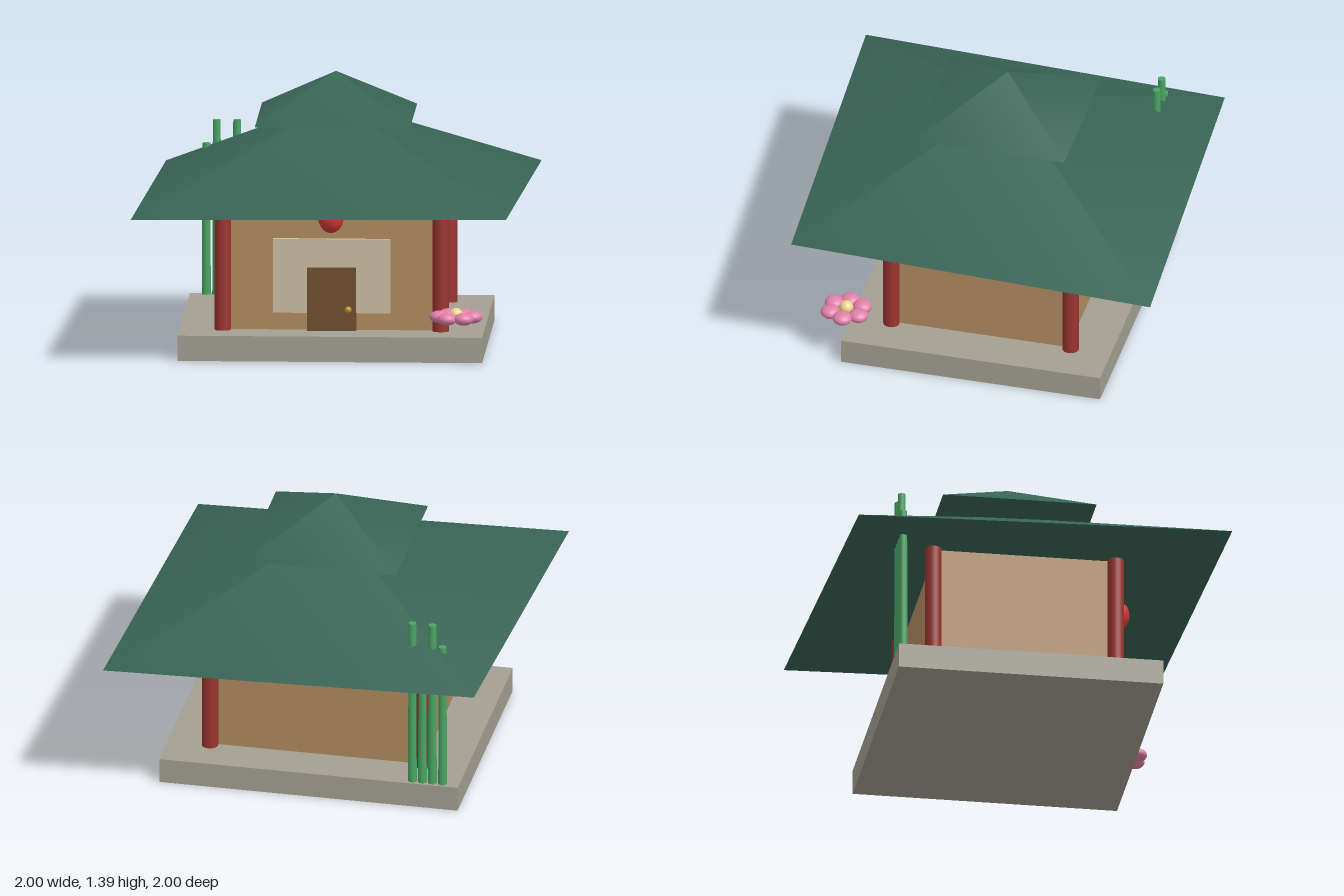
import * as THREE from 'three';

const colors = {
  stone: 0xa39f92, wall: 0xb08b60, column: 0x9a342f, roof: 0x386455,
  panel: 0xcbbda0, door: 0x704e30, knob: 0xc09020, lantern: 0xd03a34,
  bamboo: 0x4aa564, petal: 0xe080a8, pollen: 0xf0d48a,
};
const materials = {};
for (const key in colors) materials[key] = new THREE.MeshStandardMaterial({ color: colors[key] });

function add(parent, name, geometry, material, x, y, z) {
  const mesh = new THREE.Mesh(geometry, materials[material]);
  mesh.name = name;
  mesh.position.set(x, y, z);
  parent.add(mesh);
  return mesh;
}

// Four-sided roof; squash shortens one diagonal of its plan
function pyramid(half, height, squash = 1) {
  return new THREE.ConeGeometry(half * Math.SQRT2, height, 4)
    .scale(1, 1, squash)
    .rotateY(Math.PI / 4);
}

export function createModel() {
  const model = new THREE.Group();
  model.name = 'gardenHouse';
  const floor = 0.13;
  const eaves = 0.775;
  const wallHeight = eaves - floor;

  // Platform and walls
  add(model, 'platform', new THREE.BoxGeometry(1.55, floor, 1.36), 'stone', 0, floor / 2, 0);
  add(model, 'walls', new THREE.BoxGeometry(1.09, wallHeight, 0.91), 'wall', 0, floor + wallHeight / 2, 0);

  // Corner columns
  const column = new THREE.CylinderGeometry(0.042, 0.042, wallHeight, 24);
  for (const sx of [-1, 1]) {
    for (const sz of [-1, 1]) {
      add(model, 'column', column, 'column', sx * 0.555, floor + wallHeight / 2, sz * 0.47);
    }
  }

  // Two-tier roof
  add(model, 'lowerRoof', pyramid(1, 0.465, 0.907), 'roof', 0, eaves + 0.465 / 2, 0);
  add(model, 'upperRoof', pyramid(0.395, 0.23), 'roof', 0, 1.16 + 0.23 / 2, 0);

  // Front screen, door and knob
  add(model, 'screen', new THREE.BoxGeometry(0.595, 0.38, 0.03), 'panel', 0, 0.41, 0.465);
  add(model, 'door', new THREE.BoxGeometry(0.25, 0.325, 0.04), 'door', 0, floor + 0.1625, 0.477);
  add(model, 'doorKnob', new THREE.SphereGeometry(0.018, 16, 12), 'knob', 0.085, 0.24, 0.5);

  // Hanging lantern
  add(model, 'lantern', new THREE.SphereGeometry(0.066, 24, 16).scale(1, 1.3, 1), 'lantern', 0, 0.731, 0.558);

  // Bamboo stalks behind the house, as [x, top]
  for (const [x, top] of [[-0.69, 0.91], [-0.637, 1.03], [-0.585, 0.86], [-0.533, 1.03]]) {
    const height = top - floor;
    add(model, 'bambooStalk', new THREE.CylinderGeometry(0.02, 0.023, height, 12), 'bamboo', x, floor + height / 2, -0.645);
  }

  // Flower with six petals
  const flower = new THREE.Group();
  flower.name = 'flower';
  flower.position.set(0.643, 0.238, 0.684);
  const petal = new THREE.SphereGeometry(0.05, 20, 14).scale(1, 0.64, 1);
  for (let i = 0; i < 6; i++) {
    const a = (i * Math.PI) / 3;
    add(flower, 'petal', petal, 'petal', Math.cos(a) * 0.085, 0, Math.sin(a) * 0.085);
  }
  add(flower, 'flowerCentre', new THREE.SphereGeometry(0.036, 20, 14), 'pollen', 0, 0.01, 0);
  model.add(flower);

  return model;
}
